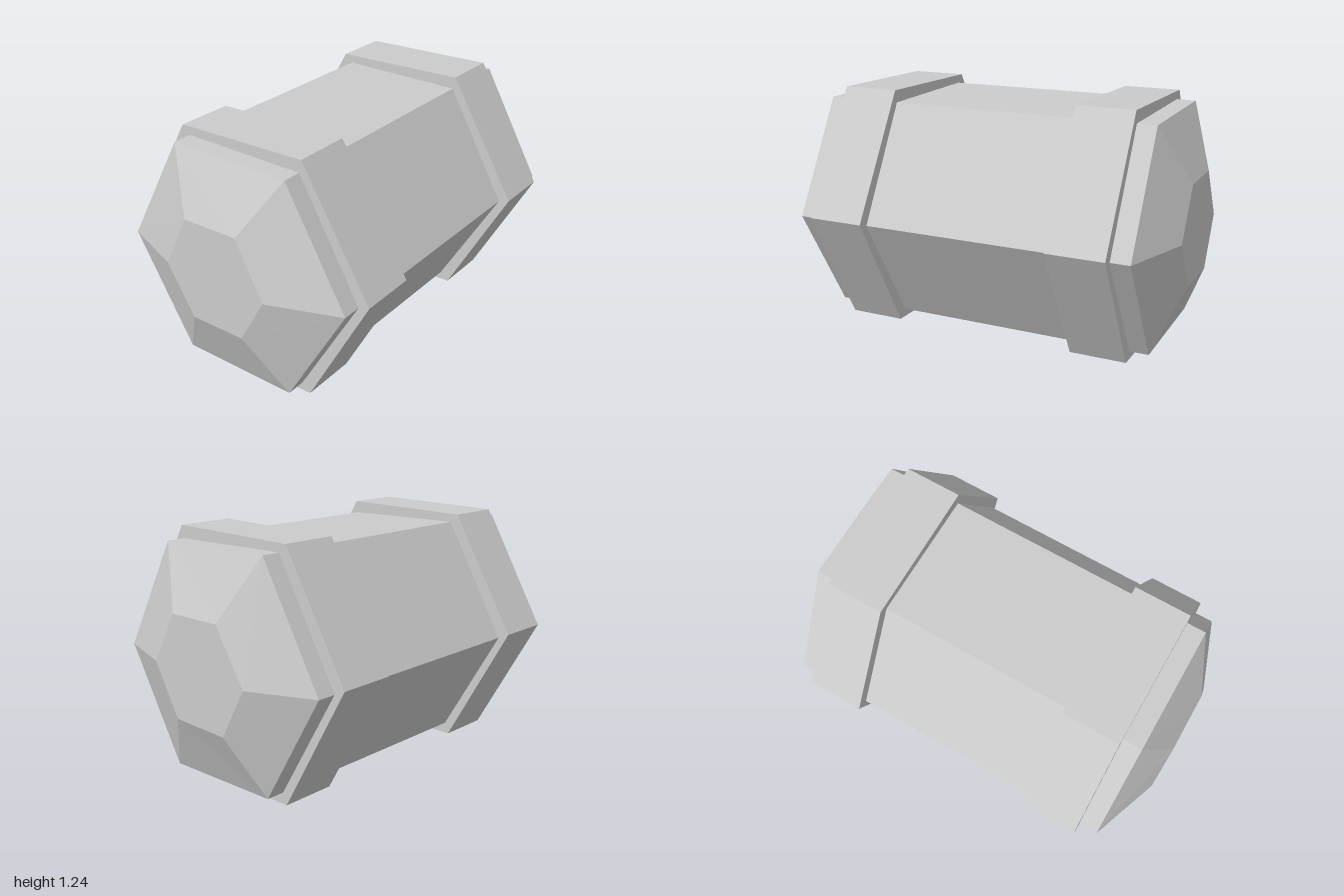
import * as THREE from 'three';

// Lofts six-sided [z, y] outlines placed along x (ascending), closed at both ends.
function loft(name, sections) {
  const pos = [];
  const n = sections[0].outline.length;
  const vert = (s, i) => [s.x, s.outline[i % n][1], s.outline[i % n][0]];
  const tri = (a, b, c) => pos.push(...a, ...b, ...c);
  for (let k = 0; k < sections.length - 1; k++) {
    const s = sections[k], t = sections[k + 1];
    for (let i = 0; i < n; i++) {
      tri(vert(s, i), vert(t, i), vert(t, i + 1));
      tri(vert(s, i), vert(t, i + 1), vert(s, i + 1));
    }
  }
  const first = sections[0], last = sections[sections.length - 1];
  for (let i = 1; i < n - 1; i++) {
    tri(vert(first, 0), vert(first, i), vert(first, i + 1));
    tri(vert(last, 0), vert(last, i + 1), vert(last, i));
  }
  const geometry = new THREE.BufferGeometry();
  geometry.setAttribute('position', new THREE.Float32BufferAttribute(pos, 3));
  geometry.computeVertexNormals();
  const material = new THREE.MeshStandardMaterial({ color: 0xcccccc, flatShading: true });
  const mesh = new THREE.Mesh(geometry, material);
  mesh.name = name;
  return mesh;
}

// Slightly uneven hexagons, as [z, y], starting at the top front corner
const bodyHex = [[0.33, 1.177], [-0.32, 1.184], [-0.647, 0.608], [-0.32, 0.058], [0.318, 0.056], [0.648, 0.616]];
const bandHex = [[0.343, 1.24], [-0.362, 1.226], [-0.705, 0.634], [-0.342, 0], [0.365, 0.015], [0.705, 0.634]];
const leftTip = [[0.15, 0.875], [-0.146, 0.875], [-0.315, 0.606], [-0.17, 0.355], [0.15, 0.366], [0.295, 0.621]];
const rightTip = [[0.145, 0.895], [-0.16, 0.89], [-0.3, 0.615], [-0.15, 0.368], [0.15, 0.37], [0.29, 0.612]];

export function createModel() {
  const model = new THREE.Group();
  model.name = 'barrel';

  // Hexagonal body with tapered ends
  model.add(loft('body', [
    { x: -1, outline: rightTip },
    { x: -0.872, outline: bodyHex },
    { x: 0.872, outline: bodyHex },
    { x: 1, outline: leftTip },
  ]));

  // Raised bands around each end
  for (const [name, x] of [['rightBand', -0.63], ['leftBand', 0.63]]) {
    model.add(loft(name, [
      { x: x - 0.145, outline: bandHex },
      { x: x + 0.145, outline: bandHex },
    ]));
  }
  return model;
}
